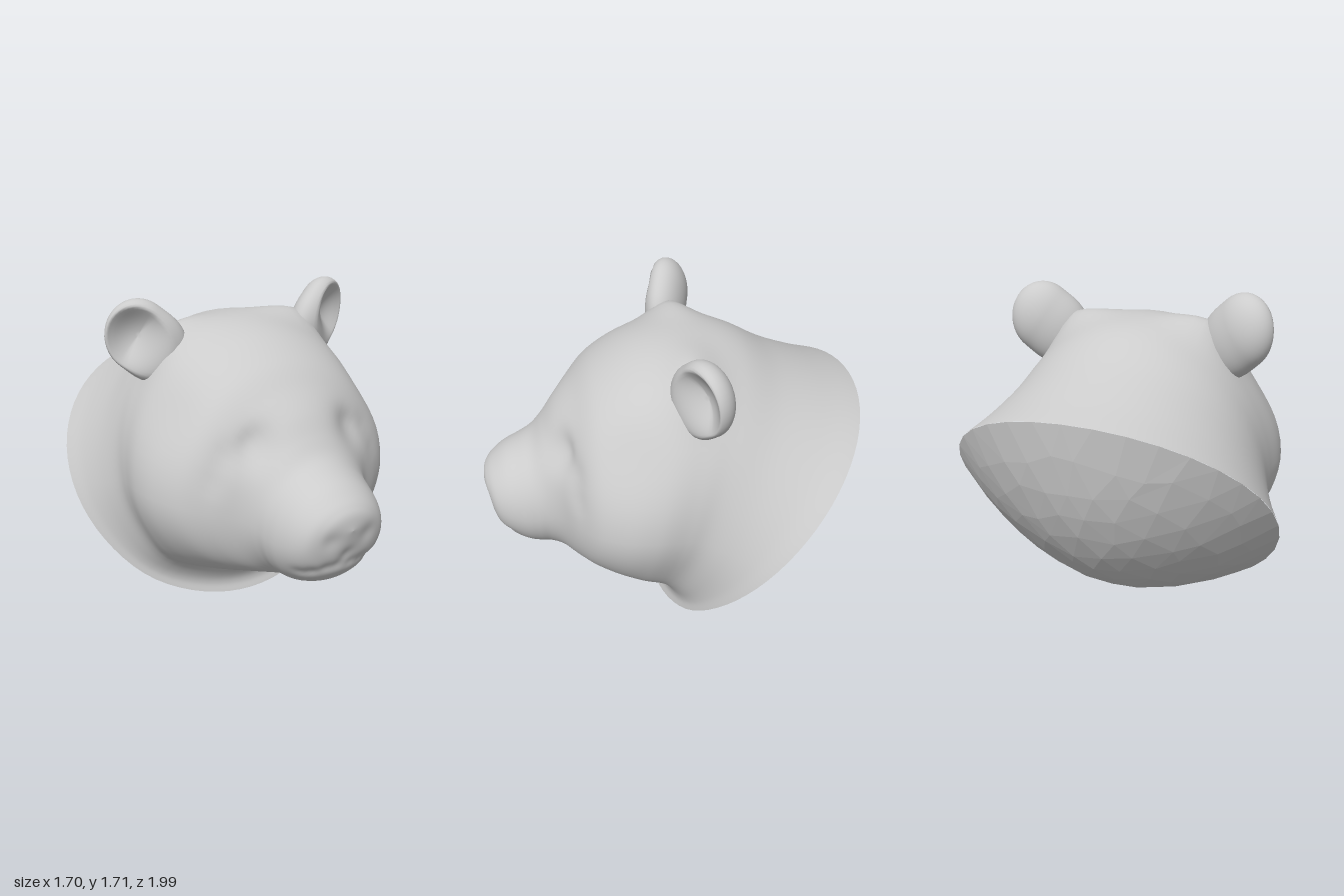
import * as THREE from 'three';
import { mergeVertices } from 'three/addons/utils/BufferGeometryUtils.js';

const material = new THREE.MeshStandardMaterial({ color: 0xcccccc });
const AROUND = 72, ALONG = 120;

// Head sections, neck rim to nose: top z, top y, bottom z, bottom y, half width, height share of widest point
const SECTIONS = [
  [-1, 1.24, 0.09, 0, 0.85, 0.5],
  [-0.8, 1.31, 0.075, 0.045, 0.797, 0.48],
  [-0.57, 1.41, 0.08, 0.09, 0.745, 0.46],
  [-0.37, 1.525, 0.11, 0.145, 0.708, 0.44],
  [-0.2, 1.57, 0.155, 0.2, 0.705, 0.43],
  [0, 1.575, 0.25, 0.245, 0.715, 0.42],
  [0.2, 1.53, 0.35, 0.28, 0.69, 0.42],
  [0.38, 1.43, 0.45, 0.32, 0.62, 0.43],
  [0.5, 1.315, 0.53, 0.345, 0.505, 0.44],
  [0.59, 1.22, 0.6, 0.365, 0.385, 0.45],
  [0.66, 1.12, 0.66, 0.38, 0.33, 0.46],
  [0.72, 1.045, 0.72, 0.39, 0.31, 0.46],
  [0.79, 1.0, 0.78, 0.41, 0.295, 0.46],
  [0.87, 0.96, 0.86, 0.455, 0.265, 0.47],
  [0.93, 0.915, 0.915, 0.515, 0.225, 0.48],
  [0.965, 0.88, 0.945, 0.58, 0.175, 0.5],
  [0.987, 0.84, 0.97, 0.67, 0.11, 0.5],
  [0.995, 0.77, 0.995, 0.77, 0, 0.5],
];
const curve = (f) => new THREE.CatmullRomCurve3(SECTIONS.map(f), false, 'catmullrom', 0.5);
const topCurve = curve((s) => new THREE.Vector3(s[4], s[1], s[0]));
const bottomCurve = curve((s) => new THREE.Vector3(s[5], s[3], s[2]));

// Soft pushes on the surface, mirrored: centre, radius, offset
const SCULPT = [
  [[0.27, 1.09, 0.58], 0.1, [0, 0, -0.05]],       // eye socket
  [[0.26, 1.05, 0.55], 0.035, [0, 0, 0.02]],      // eye
  [[0.4, 1.04, 0.5], 0.07, [-0.01, 0, -0.015]],   // outer eye corner
  [[0.46, 0.93, 0.5], 0.06, [-0.005, 0, -0.01]],
  [[0.27, 1.53, -0.1], 0.14, [0, 0.04, 0]],       // crown between the ears
  [[0.4, 1.44, -0.07], 0.13, [0.01, 0.08, 0]],    // ear root
  [[0.58, 1.2, 0.25], 0.22, [-0.04, 0, 0]],       // temple
  [[0.52, 0.36, 0.12], 0.2, [0.025, -0.025, 0]],  // jowl
  [[0.1, 0.73, 0.96], 0.05, [0, 0, -0.012]],      // nostril
  [[0.0, 0.63, 0.96], 0.04, [0, 0, -0.006]],      // groove below the nose
  [[0.04, 0.575, 0.945], 0.035, [0, 0, -0.01]],   // mouth
  [[0.1, 0.57, 0.93], 0.035, [0, 0, -0.012]],
  [[0.16, 0.56, 0.9], 0.035, [-0.008, 0, -0.012]],
  [[0.2, 0.555, 0.86], 0.035, [-0.012, 0, -0.006]],
];

function sculpt(p) {
  const base = p.clone();
  for (const [c, radius, d] of SCULPT) {
    for (const side of [1, -1]) {
      const q = base.distanceToSquared(new THREE.Vector3(c[0] * side, c[1], c[2]));
      const k = Math.exp(-q / (radius * radius));
      p.add(new THREE.Vector3(d[0] * side * k, d[1] * k, d[2] * k));
    }
  }
  return p;
}

// Point on the head, u from rim to nose, a around the section
function headPoint(u, a) {
  const t = topCurve.getPoint(u), b = bottomCurve.getPoint(u);
  const s = Math.sin(a), share = b.x;
  const v = s > 0 ? share + (1 - share) * s : share + share * s;
  const bow = 0.04 * Math.max(0, 1 - u * 4) * Math.cos(a) ** 2;
  return new THREE.Vector3(
    Math.max(0, t.x) * Math.cos(a),
    THREE.MathUtils.lerp(b.y, t.y, v) + bow,
    THREE.MathUtils.lerp(b.z, t.z, v) + bow
  );
}

function makeGeometry(points, index) {
  const g = new THREE.BufferGeometry().setFromPoints(points);
  g.setIndex(index);
  g.computeVertexNormals();
  return g;
}

function headGeometry() {
  const points = [], index = [];
  for (let i = 0; i <= ALONG; i++) {
    for (let j = 0; j < AROUND; j++) {
      points.push(sculpt(headPoint(i / ALONG, (j / AROUND) * Math.PI * 2)));
      if (i === ALONG) continue;
      const n = (j + 1) % AROUND, r = i * AROUND, s = r + AROUND;
      index.push(r + j, r + n, s + n, r + j, s + n, s + j);
    }
  }
  return makeGeometry(points, index);
}

// Bulging faceted cap that closes the neck: rings of 6, 12, 18... points
function capGeometry() {
  const rings = 6, depth = 0.33;
  const center = new THREE.Vector3(0, 0.62, -0.455);
  const normal = new THREE.Vector3(0, -0.66, -0.75);
  const points = [center.clone().addScaledVector(normal, depth)], index = [];
  const at = (k, i) => (k === 0 ? 0 : 1 + 3 * k * (k - 1) + (i % (6 * k)));
  let seed = 7;
  const jitter = () => ((seed = (seed * 16807) % 2147483647) / 2147483647 - 0.5) * 0.4;
  for (let k = 1; k <= rings; k++) {
    for (let i = 0; i < 6 * k; i++) {
      const edge = k === rings;
      const r = edge ? 1 : (k + jitter()) / rings;
      const a = ((i + (edge ? 0 : jitter())) / (6 * k)) * Math.PI * 2;
      points.push(center.clone().lerp(headPoint(0, a), r).addScaledVector(normal, depth * (1 - r * r)));
    }
    for (let s = 0; s < 6; s++) {
      for (let t = 0; t < k; t++) {
        const o = at(k, s * k + t), o2 = at(k, s * k + t + 1);
        const n = at(k - 1, s * (k - 1) + t);
        index.push(o2, o, n);
        if (t < k - 1) index.push(at(k - 1, s * (k - 1) + t + 1), o2, n);
      }
    }
  }
  return makeGeometry(points, index);
}

// Round ear with a hollow front, thick and stretched toward the head at its root
function earGeometry(side) {
  let g = new THREE.SphereGeometry(1, 40, 32);
  g.rotateX(Math.PI / 2);
  g.deleteAttribute('uv');
  g.deleteAttribute('normal');
  g = mergeVertices(g);
  const p = g.attributes.position;
  for (let i = 0; i < p.count; i++) {
    const x = p.getX(i), y = p.getY(i), z = p.getZ(i);
    const root = Math.max(0, -x * 0.8 - y * 0.6);
    const stretch = 1 + 0.6 * root * root;
    const hollow = Math.max(0, 1 - 1.3 * ((x - 0.1) ** 2 + y * y)) * (1 - root);
    const depth = z > 0 ? 0.1 * z - 0.12 * hollow * Math.min(1, z * 2) : 0.12 * z;
    p.setXYZ(i, x * 0.17 * stretch, y * 0.19 * stretch, depth * (1 + 0.5 * root * root));
  }
  g.rotateX(0.08);
  g.rotateY(0.4);
  g.translate(0.555, 1.52, -0.09);
  if (side < 0) {
    g.scale(-1, 1, 1);
    const ix = g.index;
    for (let i = 0; i < ix.count; i += 3) {
      const b = ix.getX(i + 1);
      ix.setX(i + 1, ix.getX(i + 2));
      ix.setX(i + 2, b);
    }
  }
  g.computeVertexNormals();
  return g;
}

export function createModel() {
  const group = new THREE.Group();
  group.name = 'bearHead';
  const add = (name, geometry, mat = material) => {
    const mesh = new THREE.Mesh(geometry, mat);
    mesh.name = name;
    group.add(mesh);
  };
  add('head', headGeometry());
  const facetMaterial = material.clone();
  facetMaterial.flatShading = true;
  add('neckCap', capGeometry(), facetMaterial);
  add('leftEar', earGeometry(1));
  add('rightEar', earGeometry(-1));
  return group;
}
